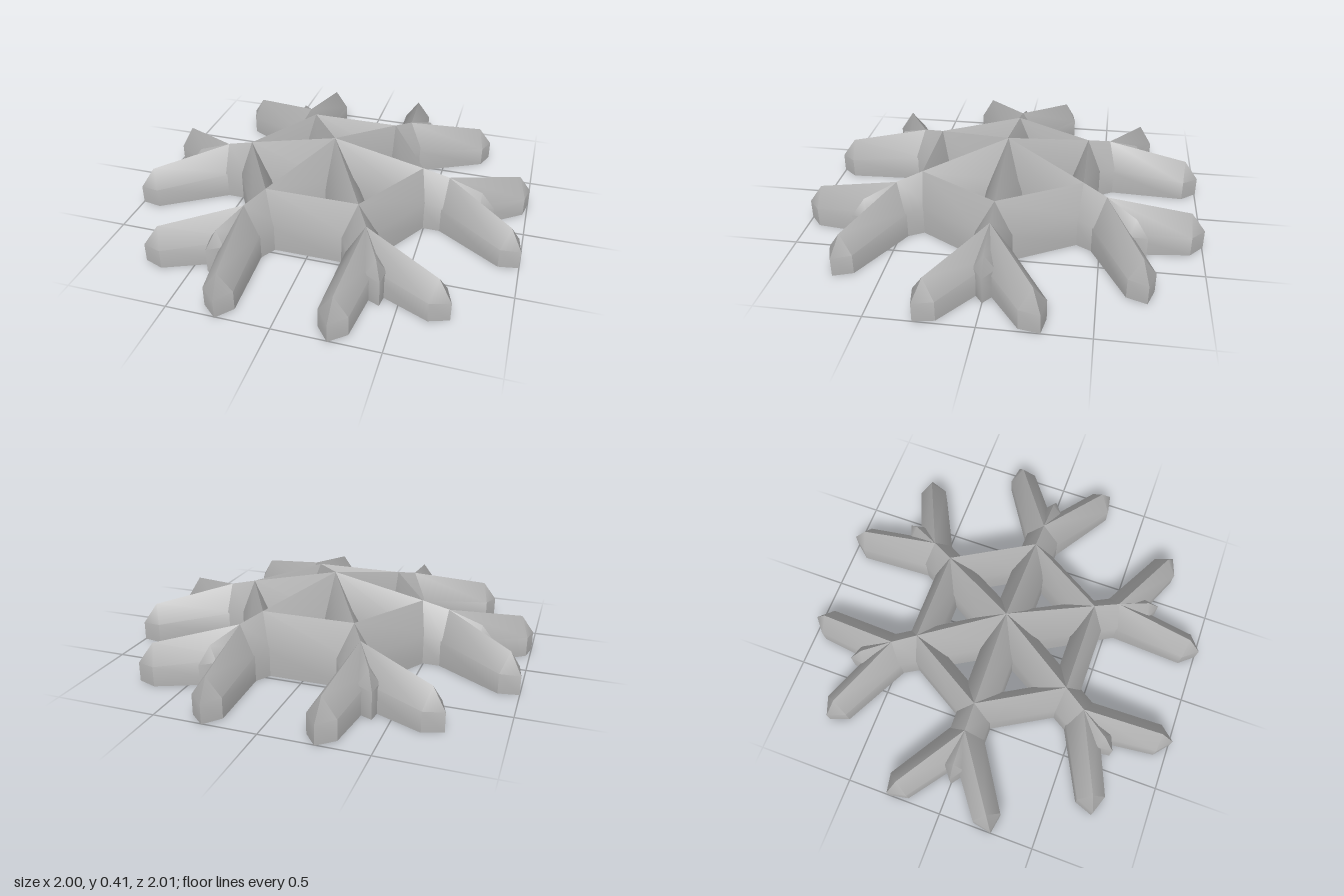
import * as THREE from 'three';
import { toCreasedNormals } from 'three/addons/utils/BufferGeometryUtils.js';

// Ridged bar along +x. Each section: [x, half width, wall height, ridge height]
function ridgedBar(sections) {
  const rings = sections.map(([x, w, wall, ridge]) => [
    [x, 0, -w], [x, wall, -w], [x, ridge, 0], [x, wall, w], [x, 0, w],
  ].map(p => new THREE.Vector3(...p)));
  const pos = [];
  const tri = (a, b, c) => {
    const area = b.clone().sub(a).cross(c.clone().sub(a)).length();
    if (area > 1e-7) pos.push(...a, ...b, ...c);
  };
  for (let i = 0; i < rings.length - 1; i++) {
    const r = rings[i], s = rings[i + 1];
    for (let j = 0; j < 5; j++) {
      const k = (j + 1) % 5;
      tri(r[j], r[k], s[k]);
      tri(r[j], s[k], s[j]);
    }
  }
  const first = rings[0], last = rings[rings.length - 1];
  for (let j = 1; j < 4; j++) {
    tri(first[0], first[j + 1], first[j]);
    tri(last[0], last[j], last[j + 1]);
  }
  const geo = new THREE.BufferGeometry();
  geo.setAttribute('position', new THREE.Float32BufferAttribute(pos, 3));
  return toCreasedNormals(geo, THREE.MathUtils.degToRad(40));
}

export function createModel() {
  const ice = new THREE.MeshStandardMaterial({ color: 0xb0b0b0 });
  ice.name = 'grey';
  const flake = new THREE.Group();
  flake.name = 'snowflake';

  const node = 0.465, fork = 0.6;
  const spokeGeo = ridgedBar([[0, 0.09, 0.2, 0.405], [node, 0.09, 0.15, 0.305], [fork + 0.005, 0.09, 0.135, 0.272]]);
  const ringGeo = ridgedBar([[-node / 2, 0.073, 0.15, 0.305], [node / 2, 0.073, 0.15, 0.305]]);
  const branchGeo = ridgedBar([[0, 0.085, 0.135, 0.272], [0.415, 0.071, 0.1, 0.195], [0.487, 0, 0.095, 0.095]]);
  const budGeo = ridgedBar([[0, 0.05, 0.16, 0.272], [0.17, 0.052, 0.14, 0.212], [0.237, 0, 0.13, 0.13]]);

  for (let i = 0; i < 6; i++) {
    const arm = new THREE.Group();
    arm.name = 'arm' + (i + 1);
    arm.rotation.y = i * Math.PI / 3;
    const add = (name, geo, x, z, turn) => {
      const mesh = new THREE.Mesh(geo, ice);
      mesh.name = name;
      mesh.position.set(x, 0, z);
      mesh.rotation.y = turn;
      arm.add(mesh);
    };
    add('spoke', spokeGeo, 0, 0, 0);
    // Hexagon side between this spoke and the next
    const mid = node * Math.cos(Math.PI / 6);
    add('ringSide', ringGeo, mid * Math.cos(Math.PI / 6), -mid * Math.sin(Math.PI / 6), Math.PI / 6 + Math.PI / 2);
    // Forked branches with a small bud between them
    for (const side of [1, -1]) add(side > 0 ? 'leftBranch' : 'rightBranch', branchGeo, fork, 0, side * 0.607);
    add('bud', budGeo, fork, 0, 0);
    flake.add(arm);
  }
  return flake;
}
